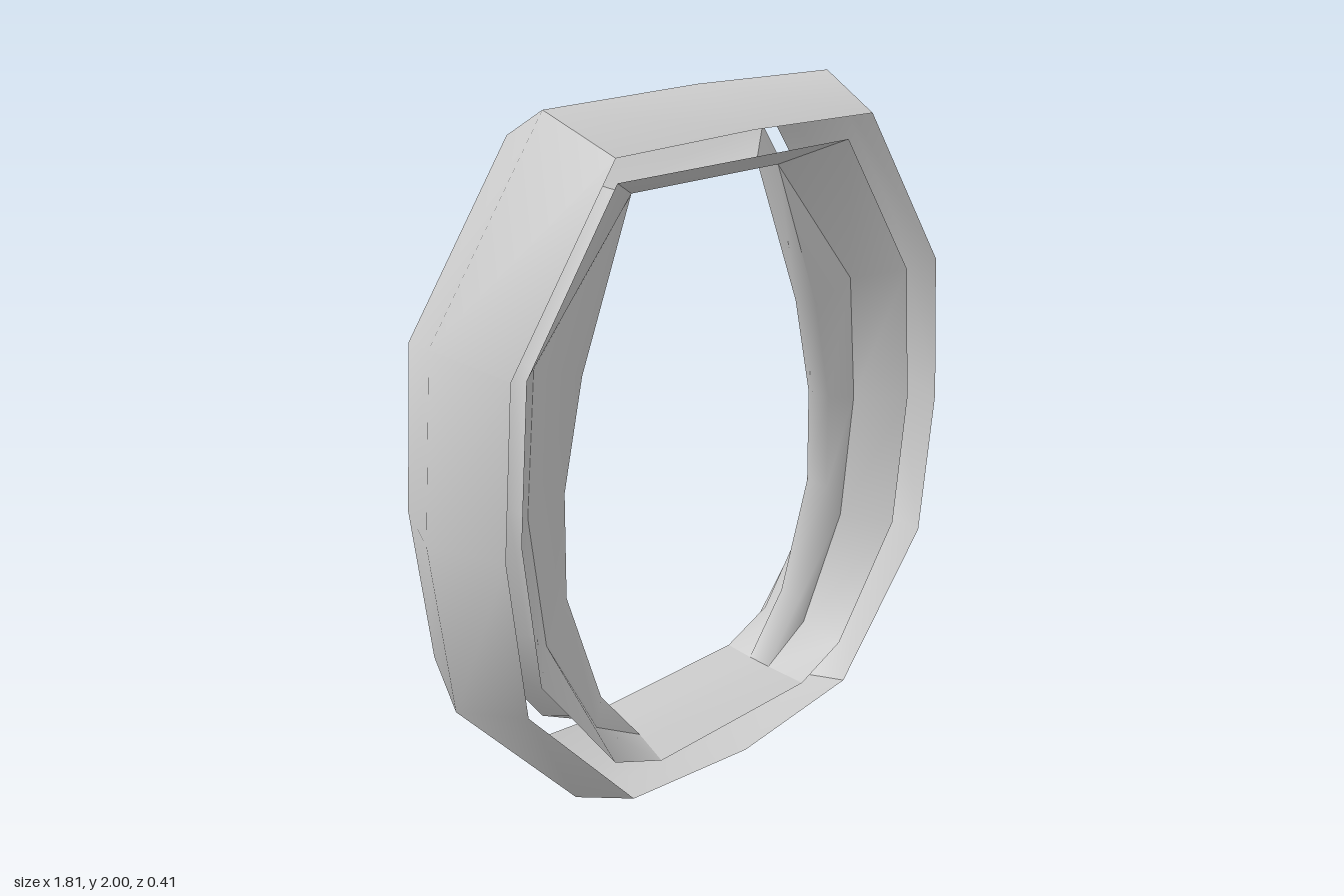
import * as THREE from 'three';

const material = new THREE.MeshStandardMaterial({ color: 0xcccccc, side: THREE.DoubleSide });

// Smooth strip: each section is a row of [x, y, z] points across the band
function strip(name, sections) {
  const cols = sections[0].length;
  const index = [];
  for (let i = 0; i < sections.length - 1; i++) {
    for (let j = 0; j < cols - 1; j++) {
      const a = i * cols + j, b = a + cols;
      index.push(a, b, a + 1, b, b + 1, a + 1);
    }
  }
  const geometry = new THREE.BufferGeometry();
  geometry.setAttribute('position', new THREE.Float32BufferAttribute(sections.flat(2), 3));
  geometry.setIndex(index);
  geometry.computeVertexNormals();
  const mesh = new THREE.Mesh(geometry, material);
  mesh.name = name;
  return mesh;
}

// Mirrored sections in reverse order, so the strip keeps its facing
const mirror = (sections) =>
  sections.map((s) => s.map(([x, y, z]) => [-x, y, z])).reverse();

// Outer shell: V section with its ridge outwards; station = ridge x, y, rim x, y
const outerSection = ([rx, ry, ex, ey]) => [[ex, ey, 0.205], [rx, ry, 0], [ex, ey, -0.205]];

// Inner shell: section narrowing inwards; station = rim x, y, inner x, y
const innerSection = ([rx, ry, ix, iy]) =>
  [[rx, ry, -0.16], [ix, iy, -0.04], [ix, iy, 0.04], [rx, ry, 0.16]];

// Crescent fin: walls joined by a narrow inner face; station = root x, y, lip x, y
const finSection = ([rx, ry, lx, ly]) =>
  [[rx, ry, -0.04], [lx, ly, -0.04], [lx, ly, 0.04], [rx, ry, 0.04]];

// A ring made of two sides, a top and a bottom, with creases between them
function ring(name, section, side, topMiddle, bottomMiddle) {
  const group = new THREE.Group();
  group.name = name;
  const right = side.map(section);
  const left = mirror(right);
  const first = right[0], last = right[right.length - 1];
  group.add(
    strip(name + 'LeftSide', right),
    strip(name + 'RightSide', left),
    strip(name + 'Top', [left[left.length - 1], ...topMiddle.map(section), first]),
    strip(name + 'Bottom', [last, ...bottomMiddle.map(section), left[0]])
  );
  return group;
}

export function createModel() {
  const model = new THREE.Group();
  model.name = 'facetedRing';

  model.add(ring('outerBand', outerSection, [
    [0.5, 1.99, 0.455, 1.9],
    [0.857, 1.487, 0.78, 1.44],
    [0.905, 1, 0.822, 1],
    [0.857, 0.513, 0.78, 0.555],
    [0.48, 0.06, 0.44, 0.143],
  ], [[0, 2, 0, 1.91]], [[0, 0, 0, 0.093]]));

  model.add(ring('innerBand', innerSection, [
    [0.413, 1.83, 0.265, 1.765],
    [0.703, 1.413, 0.59, 1.385],
    [0.742, 1, 0.63, 1],
    [0.703, 0.59, 0.59, 0.615],
    [0.465, 0.25, 0.43, 0.29],
    [0.295, 0.175, 0.27, 0.192],
  ], [], []));

  // Crescent fins along the inside of both flanks
  const fin = [
    [0.265, 1.765, 0.265, 1.765],
    [0.59, 1.385, 0.44, 1.33],
    [0.63, 1, 0.51, 1.03],
    [0.59, 0.615, 0.517, 0.73],
    [0.43, 0.29, 0.41, 0.38],
    [0.27, 0.192, 0.27, 0.192],
  ].map(finSection);
  model.add(strip('leftFin', fin), strip('rightFin', mirror(fin)));

  return model;
}
